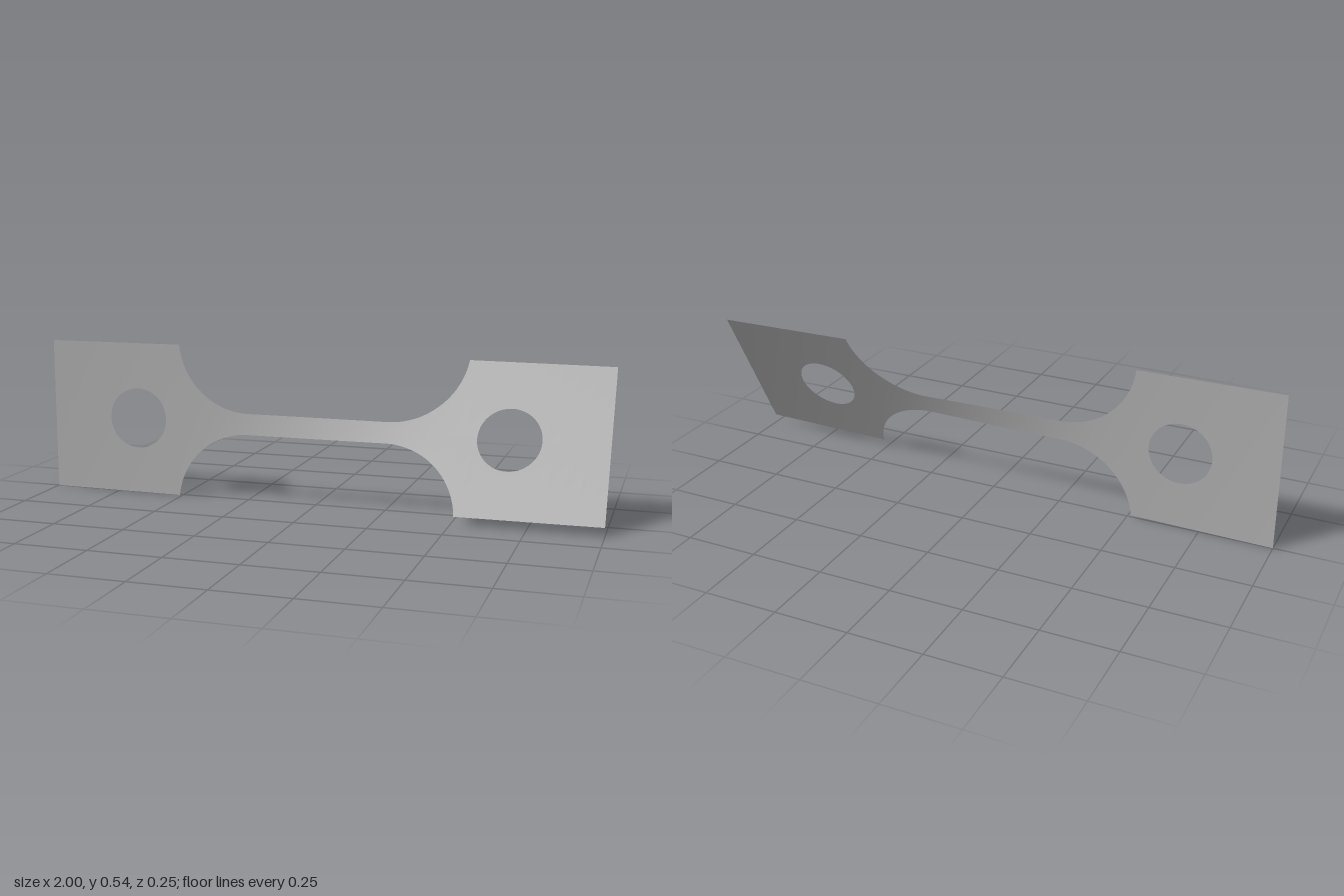
import * as THREE from 'three';

const AXIS_Y = 0.271;            // height of the twist axis
const GRIP = 0.271, NECK = 0.037; // half heights
const SHOULDER = 0.51, NECK_END = 0.25, FILLET = 0.2615;
const HOLE_X = 0.67, HOLE_R = 0.108;
const TWIST = THREE.MathUtils.degToRad(27.7);

// Half height of the outline at x
function halfHeight(x) {
  const d = Math.abs(x);
  if (d >= SHOULDER) return GRIP;
  if (d <= NECK_END) return NECK;
  return NECK + FILLET - Math.sqrt(FILLET ** 2 - (d - NECK_END) ** 2);
}

// Half height of the round hole at x
function holeHeight(x) {
  return Math.sqrt(Math.max(0, HOLE_R ** 2 - (Math.abs(x) - HOLE_X) ** 2));
}

// Twist angle: narrow sections twist more than wide ones
const STEPS = 800;
const sums = [0];
for (let i = 0; i < STEPS; i++) {
  sums.push(sums[i] + 1 / halfHeight(-1 + (2 * (i + 0.5)) / STEPS));
}
function twistAt(x) {
  const t = ((x + 1) / 2) * STEPS;
  const i = Math.min(STEPS - 1, Math.floor(t));
  return (TWIST * THREE.MathUtils.lerp(sums[i], sums[i + 1], t - i)) / sums[STEPS];
}
function twistRate(x) {
  return (TWIST * STEPS) / (2 * sums[STEPS] * halfHeight(x));
}

// Twisted sheet over the columns xs, as an upper and a lower strip
function sheet(xs) {
  const pos = [], nor = [], idx = [];
  for (const side of [1, -1]) {
    const base = pos.length / 3;
    xs.forEach((x, i) => {
      const a = twistAt(x), s = Math.sin(a), c = Math.cos(a);
      const ys = [holeHeight(x), halfHeight(x)].map((y) => y * side).sort((p, q) => p - q);
      for (const y of ys) {
        pos.push(x, AXIS_Y + y * c, -y * s);
        const n = new THREE.Vector3(y * twistRate(x), s, c).normalize();
        nor.push(n.x, n.y, n.z);
      }
      if (i > 0) {
        const k = base + 2 * i;
        idx.push(k - 2, k, k + 1, k - 2, k + 1, k - 1);
      }
    });
  }
  const g = new THREE.BufferGeometry();
  g.setAttribute('position', new THREE.Float32BufferAttribute(pos, 3));
  g.setAttribute('normal', new THREE.Float32BufferAttribute(nor, 3));
  g.setIndex(idx);
  return g;
}

export function createModel() {
  const group = new THREE.Group();
  group.name = 'twistedTestStrip';
  const steel = new THREE.MeshStandardMaterial({ color: 0xb4b4b4, side: THREE.DoubleSide });
  steel.name = 'steel grey';

  const add = (name, xs) => {
    const mesh = new THREE.Mesh(sheet(xs), steel);
    mesh.name = name;
    group.add(mesh);
  };

  // Grip columns, packed closer at the ends of the hole
  const grip = [SHOULDER];
  for (let i = 0; i <= 32; i++) grip.push(HOLE_X - HOLE_R * Math.cos((Math.PI * i) / 32));
  for (let i = 1; i <= 4; i++) grip.push(HOLE_X + HOLE_R + ((1 - HOLE_X - HOLE_R) * i) / 4);

  // Neck columns: even along the bar, by angle round the fillets
  const end = Math.asin((SHOULDER - NECK_END) / FILLET);
  const fillet = [];
  for (let i = 1; i < 24; i++) fillet.push(NECK_END + FILLET * Math.sin((end * i) / 24));
  fillet.push(SHOULDER);
  const bar = [];
  for (let i = 0; i <= 24; i++) bar.push(NECK_END * (i / 12 - 1));
  const mirrored = (xs) => xs.map((x) => -x).reverse();

  add('leftGrip', grip);
  add('rightGrip', mirrored(grip));
  add('neck', [...mirrored(fillet), ...bar, ...fillet]);
  return group;
}
